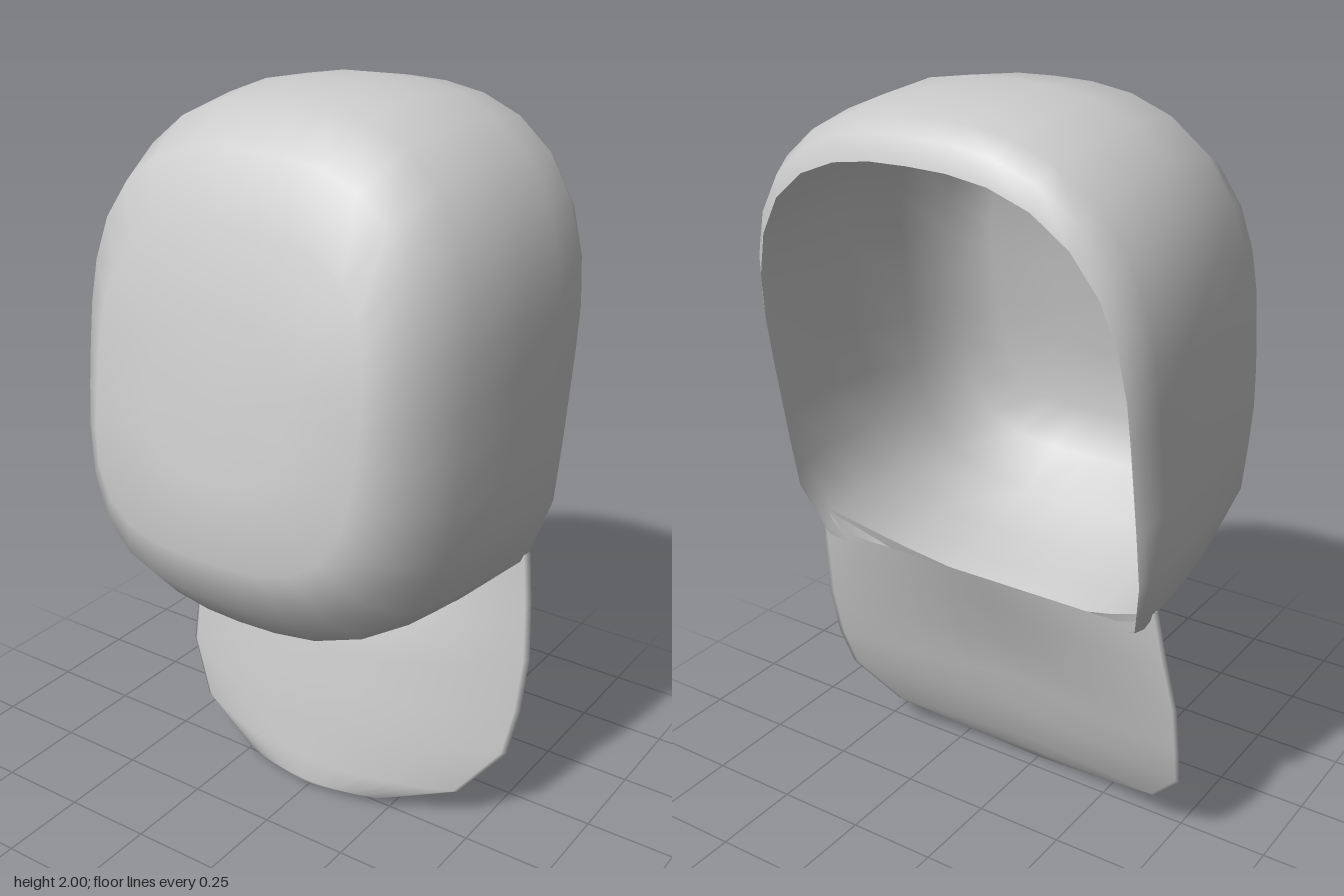
import * as THREE from 'three';
import { mergeVertices } from 'three/addons/utils/BufferGeometryUtils.js';

const material = new THREE.MeshStandardMaterial({ color: 0xcccccc, side: THREE.DoubleSide });

// Skin a list of closed loops (equal point counts) with smooth normals.
function loft(name, loops) {
  const n = loops[0].length, index = [];
  for (let j = 0; j < loops.length - 1; j++) {
    for (let i = 0; i < n; i++) {
      const a = j * n + i, b = j * n + (i + 1) % n;
      index.push(a, b, a + n, b, b + n, a + n);
    }
  }
  let geometry = new THREE.BufferGeometry().setFromPoints(loops.flat());
  geometry.setIndex(index);
  geometry = mergeVertices(geometry, 1e-4);
  geometry.computeVertexNormals();
  const mesh = new THREE.Mesh(geometry, material);
  mesh.name = name;
  return mesh;
}

// Crown: rounded-square rings from the front panel back to the open rim.
function crown() {
  // [half width, top y, z, bottom side y, z, bottom middle y, z, top and bottom squareness]
  const rings = [
    [0, 1.33, 0.43, 1.33, 0.43, 1.33, 0.43, 3, 3],
    [0.2, 1.53, 0.39, 1.13, 0.465, 1.13, 0.465, 3, 3],
    [0.39, 1.73, 0.335, 0.93, 0.47, 0.93, 0.493, 2.9, 3.6],
    [0.485, 1.89, 0.26, 0.8, 0.39, 0.8, 0.45, 2.8, 3.6],
    [0.54, 1.975, 0.11, 0.71, 0.25, 0.69, 0.35, 2.7, 3.8],
    [0.563, 2.0, -0.1, 0.74, 0.05, 0.625, 0.18, 2.7, 5],
    [0.57, 1.99, -0.28, 0.75, -0.12, 0.6, 0.08, 2.6, 6],
    [0.56, 1.965, -0.42, 0.74, -0.24, 0.58, 0.0, 2.6, 7],
    [0.545, 1.93, -0.475, 0.72, -0.285, 0.572, -0.015, 2.6, 8],
    [0.525, 1.87, -0.493, 0.71, -0.3, 0.575, -0.02, 2.7, 8],
  ];
  const count = 32;
  return loft('crown', rings.map(([w, yt, zt, ys, zs, yb, zb, nt, nb]) => {
    const loop = [], mid = (yt + ys) / 2, half = (yt - ys) / 2;
    for (let i = 0; i < count; i++) {
      const a = (i / count) * Math.PI * 2, s = Math.sin(a), c = Math.cos(a);
      const n = c > 0 ? nt : nb;
      const r = (Math.abs(s) ** n + Math.abs(c) ** n) ** (-1 / n);
      const u = r * s, v = r * c;
      // The lower edge bows down and forward where it meets the brim.
      const bow = v < 0 ? v * v * (1 - u * u) : 0;
      const z = THREE.MathUtils.lerp(zs, zt, (v + 1) / 2);
      loop.push(new THREE.Vector3(w * u, mid + half * v + (yb - ys) * bow, z + (zb - zs) * bow));
    }
    return loop;
  }));
}

// Brim: arched upper face and nearly flat underside, lofted down to the tip.
function brim() {
  // [half width, edge y, drop of upper face, edge z, upper middle z, underside middle z]
  const rows = [
    [0.525, 0.8, 0.22, -0.235, -0.03, -0.235],
    [0.545, 0.66, 0.12, -0.22, -0.005, -0.19],
    [0.565, 0.5, 0.05, -0.19, 0.01, -0.13],
    [0.562, 0.35, 0.01, -0.16, 0.03, -0.085],
    [0.548, 0.23, 0, -0.12, 0.045, -0.06],
    [0.44, 0.1, 0, -0.05, 0.058, -0.01],
    [0.23, 0.03, 0, 0.02, 0.066, 0.03],
    [0, 0.0, 0, 0.045, 0.045, 0.045],
  ];
  const count = 14;
  return loft('brim', rows.map(([w, y, drop, ze, zf, zb]) => {
    const loop = [];
    for (let i = 0; i < count; i++) {
      const s = Math.cos((i / count) * Math.PI), k = 1 - s * s;
      loop.push(new THREE.Vector3(w * s, y - drop * k, ze + (zf - ze) * k));
    }
    // The underside keeps a straight upper edge between its corners.
    for (let i = 0; i < count; i++) {
      const s = -Math.cos((i / count) * Math.PI), k = Math.min(1, 4 * (1 - s * s));
      loop.push(new THREE.Vector3(w * s, y - 0.3 * drop * k, ze + (zb - ze) * (1 - Math.abs(s))));
    }
    return loop;
  }));
}

export function createModel() {
  const group = new THREE.Group();
  group.name = 'cap';
  group.add(crown(), brim());
  return group;
}
